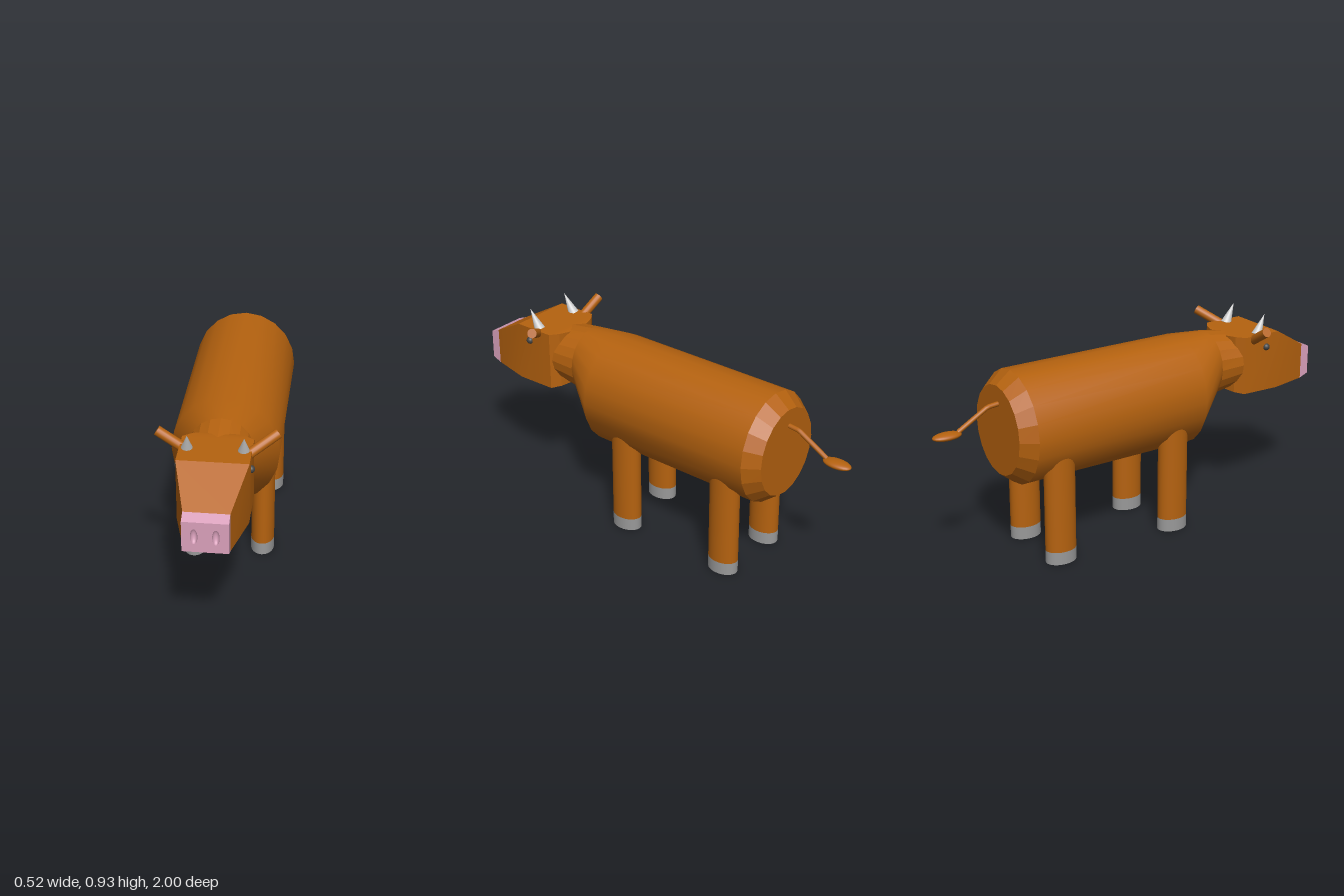
import * as THREE from 'three';
import { toCreasedNormals } from 'three/addons/utils/BufferGeometryUtils.js';

const mat = (color, side = THREE.FrontSide) => new THREE.MeshStandardMaterial({ color, side });
const BROWN = mat(0xb5620f), PINK = mat(0xd9a0bb), HOOF = mat(0x999999), HORN = mat(0xcccccc), DARK = mat(0x444444);

// Skin over rings that run anticlockwise seen from +z, ordered by growing z
function loft(rings, crease, capBack = true, capFront = true) {
  const n = rings[0].length, idx = [];
  rings.slice(1).forEach((_, r) => {
    for (let i = 0; i < n; i++) {
      const a = r * n + i, b = r * n + (i + 1) % n;
      idx.push(a, b, a + n, b, b + n, a + n);
    }
  });
  const last = (rings.length - 1) * n;
  for (let i = 1; i < n - 1; i++) {
    if (capBack) idx.push(0, i + 1, i);
    if (capFront) idx.push(last, last + i, last + i + 1);
  }
  const g = new THREE.BufferGeometry();
  g.setAttribute('position', new THREE.Float32BufferAttribute(rings.flat(2), 3));
  g.setIndex(idx);
  return toCreasedNormals(g, crease);
}

// Cross-sections: a 20-sided oval and a trapezium-free box
const oval = (z, rx, yLow, yHigh) => Array.from({ length: 20 }, (_, i) => {
  const a = i * Math.PI / 10;
  return [-0.003 + rx * Math.cos(a), (yLow + yHigh) / 2 + (yHigh - yLow) / 2 * Math.sin(a), z];
});
const rect = (z, w, yLow, yHigh) => [[w, yLow, z], [w, yHigh, z], [-w, yHigh, z], [-w, yLow, z]];

export function createModel() {
  const model = new THREE.Group();
  const add = (name, geometry, material, x = 0, y = 0, z = 0) => {
    const m = new THREE.Mesh(geometry, material);
    m.name = name;
    m.position.set(x, y, z);
    model.add(m);
    return m;
  };
  // Places a mesh built along y between two points
  const between = (name, makeGeometry, material, from, to) => {
    const a = new THREE.Vector3(...from), b = new THREE.Vector3(...to), d = b.clone().sub(a);
    const m = add(name, makeGeometry(d.length()), material);
    m.position.copy(a).addScaledVector(d, 0.5);
    m.quaternion.setFromUnitVectors(new THREE.Vector3(0, 1, 0), d.normalize());
    return m;
  };

  // Barrel, faceted rump and neck
  const rear = oval(-0.615, 0.24, 0.355, 0.877);
  const neckBase = oval(0.43, 0.145, 0.555, 0.868);
  add('body', loft([rear, oval(0.27, 0.24, 0.355, 0.877), neckBase], 1, false, false), BROWN);
  add('rump', loft([oval(-0.685, 0.19, 0.41, 0.82), rear], 0.1, true, false), BROWN);
  add('neck', loft([neckBase, oval(0.555, 0.145, 0.58, 0.848)], 0.1, false, true), BROWN);

  // Head tapering to the snout
  add('head', loft([
    rect(0.515, 0.06, 0.58, 0.845), rect(0.53, 0.11, 0.575, 0.848), rect(0.56, 0.15, 0.57, 0.848),
    rect(0.755, 0.15, 0.567, 0.848), rect(0.955, 0.095, 0.56, 0.735),
  ], 0.3, true, false), BROWN);
  add('snout', loft([rect(0.955, 0.095, 0.56, 0.735), rect(1, 0.095, 0.578, 0.717)], 0.1, false, false), PINK);

  // Front of the snout with two hollow nostrils
  const face = new THREE.Shape([[-0.095, 0.578], [0.095, 0.578], [0.095, 0.717], [-0.095, 0.717]]
    .map(p => new THREE.Vector2(...p)));
  for (const [side, x] of [['left', 0.043], ['right', -0.045]]) {
    face.holes.push(new THREE.Path().absellipse(x, 0.65, 0.015, 0.035, 0, Math.PI * 2, true));
    const hollow = new THREE.SphereGeometry(1, 24, 10, 0, Math.PI * 2, 0, Math.PI / 2)
      .rotateX(-Math.PI / 2).scale(0.015, 0.035, 0.02);
    add(side + 'Nostril', hollow, mat(0xd9a0bb, THREE.BackSide), x, 0.65, 1);
  }
  add('snoutFront', new THREE.ShapeGeometry(face, 24), PINK, 0, 0, 1);

  // Ears, horns and eyes
  const ear = len => new THREE.CylinderGeometry(0.022, 0.022, len, 16);
  between('leftEar', ear, BROWN, [0.12, 0.82, 0.655], [0.249, 0.89, 0.57]);
  between('rightEar', ear, BROWN, [-0.12, 0.815, 0.615], [-0.248, 0.893, 0.602]);
  const horn = len => new THREE.ConeGeometry(0.026, len, 24);
  between('leftHorn', horn, HORN, [0.116, 0.84, 0.65], [0.122, 0.932, 0.7]);
  between('rightHorn', horn, HORN, [-0.118, 0.84, 0.65], [-0.11, 0.932, 0.7]);
  for (const s of [1, -1]) {
    add(s > 0 ? 'leftEye' : 'rightEye', new THREE.SphereGeometry(0.017, 16, 12), DARK, s * 0.149, 0.783, 0.685);
  }

  // Oval legs with hooves
  const legs = [['frontLeft', 0.151, 0.092], ['frontRight', -0.163, 0.135], ['backLeft', 0.151, -0.475], ['backRight', -0.163, -0.475]];
  for (const [name, x, z] of legs) {
    const column = h => new THREE.CylinderGeometry(1, 1, h, 32).scale(0.054, 1, 0.074);
    add(name + 'Leg', column(0.46), BROWN, x, 0.29, z);
    add(name + 'Hoof', column(0.06), HOOF, x, 0.03, z);
  }

  // Tail with tuft
  const path = new THREE.CurvePath();
  const pts = [[-0.67, 0.741], [-0.735, 0.735], [-0.88, 0.652]].map(([z, y]) => new THREE.Vector3(-0.013, y, z));
  path.add(new THREE.LineCurve3(pts[0], pts[1]));
  path.add(new THREE.LineCurve3(pts[1], pts[2]));
  add('tail', new THREE.TubeGeometry(path, 16, 0.011, 10), BROWN);
  add('tailTuft', new THREE.SphereGeometry(1, 24, 16).scale(0.036, 0.017, 0.068), BROWN, -0.013, 0.645, -0.932);

  return model;
}
